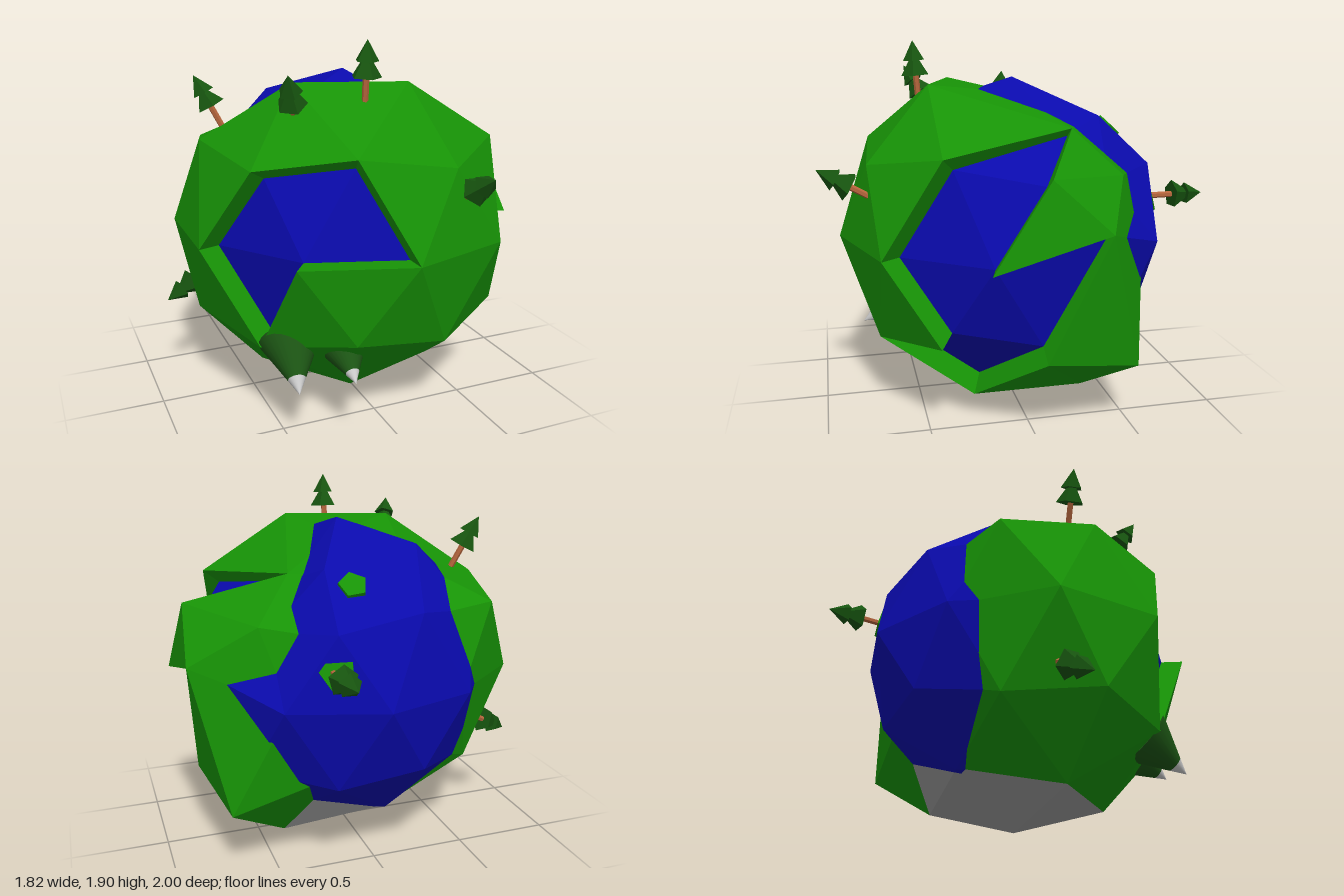
import * as THREE from 'three';

const mat = (color, extra = {}) =>
  new THREE.MeshStandardMaterial({ color, flatShading: true, roughness: 0.9, ...extra });
const landMat = mat(0x179306, { side: THREE.DoubleSide });
const rockMat = mat(0x9a9a9a, { side: THREE.DoubleSide });
const oceanMat = mat(0x0a0aac);
const leafMat = mat(0x17550f);
const trunkMat = mat(0xb5653c);
const hillMat = new THREE.MeshStandardMaterial({ color: 0x1c5514 });
const snowMat = new THREE.MeshStandardMaterial({ color: 0xe8e8e8 });

// Rings of a once-divided icosahedron: [radius, height] per letter; a vertex is letter + azimuth
const RINGS = {
  P: [0, 1], T: [0.526, 0.851], U: [0.894, 0.447], M: [0.851, 0.526], E: [1, 0],
  L: [0.894, -0.447], N: [0.851, -0.526], B: [0.526, -0.851], Q: [0, -1],
};
const MIDS = { PU: 'T', UU: 'M', LU: 'E', LL: 'N', LQ: 'B' };
const wrap = (a) => (a + 720) % 360;

function position(name, radius) {
  const [r, h] = RINGS[name[0]];
  const a = THREE.MathUtils.degToRad(Number(name.slice(1) || 0));
  return new THREE.Vector3(r * Math.sin(a), h, r * Math.cos(a)).multiplyScalar(radius);
}

function middle(a, b) {
  const letter = MIDS[[a[0], b[0]].sort().join('')];
  if ('PQ'.includes(a[0])) return letter + b.slice(1);
  if ('PQ'.includes(b[0])) return letter + a.slice(1);
  const x = Number(a.slice(1));
  const delta = wrap(Number(b.slice(1)) - x + 180) - 180;
  return letter + wrap(x + delta / 2);
}

// All 80 faces as triples of vertex names
function sphereFaces() {
  const faces = [];
  for (let k = 0; k < 5; k++) {
    const a = 18 + 72 * k;
    const u = 'U' + wrap(a), v = 'U' + wrap(a + 72);
    const l = 'L' + wrap(a + 36), m = 'L' + wrap(a + 108);
    for (const [p, q, r] of [['P', u, v], [u, l, v], [v, l, m], ['Q', m, l]]) {
      const pq = middle(p, q), qr = middle(q, r), rp = middle(r, p);
      faces.push([p, pq, rp], [q, qr, pq], [r, rp, qr], [pq, qr, rp]);
    }
  }
  return faces;
}

const key = (f) => [...f].sort().join(' ');
const keys = (list) => new Set(list.map((s) => key(s.split(' '))));

// Openings in the land shell where the sea shows
const OPEN = keys([
  'M54 U90 T90', 'M54 U90 E72', 'M54 E36 E72', 'E36 E72 L54',
  'E72 L54 N90', 'L54 N18 B54', 'L54 N90 B54', 'E72 E108 N90',
  'E288 E324 N306', 'U306 E288 E324', 'U306 M342 E324', 'M342 E324 E0',
]);

// Land vertices sunk below the sea, and shifted vertices of land and sea
const SUNK = {
  P: 0.72, T162: 0.66, T234: 0.71, M198: 0.7, U162: 0.7, E144: 0.72, E180: 0.7,
  E216: 0.76, L198: 0.7, N162: 0.71, N234: 0.83, B198: 0.79,
};
const LAND_SHIFT = {
  T90: [0.33, 0.565, -0.23], M126: [0.53, 0.36, -0.43],
  E108: [0.85, 0.15, -0.28], L126: [0.695, -0.56, -0.48],
};
const OCEAN_SHIFT = {
  T90: [0.3, 0.53, -0.21], T162: [0.2, 0.61, -0.41],
  M126: [0.47, 0.32, -0.38], E108: [0.8, 0.14, -0.26],
};

function meshOf(name, points, material) {
  const geometry = new THREE.BufferGeometry().setFromPoints(points);
  geometry.computeVertexNormals();
  const mesh = new THREE.Mesh(geometry, material);
  mesh.name = name;
  return mesh;
}

function buildGlobe(group) {
  const faces = sphereFaces();
  const landAt = (n) =>
    LAND_SHIFT[n] ? new THREE.Vector3(...LAND_SHIFT[n]) : position(n, SUNK[n] ?? 0.912);
  const oceanAt = (n) =>
    OCEAN_SHIFT[n] ? new THREE.Vector3(...OCEAN_SHIFT[n]) : position(n, 0.8);

  const kept = faces.filter((f) => !OPEN.has(key(f)));
  const isRock = (f) => f.includes('Q') || key(f) === key(['B126', 'B198', 'N162']);
  const land = kept.filter((f) => !isRock(f)).flat().map(landAt);
  const rock = kept.filter(isRock).flat().map(landAt);

  // Walls around the openings
  const edges = new Set(kept.flatMap((f) => f.map((n, i) => n + '>' + f[(i + 1) % 3])));
  for (const edge of edges) {
    const [a, b] = edge.split('>');
    if (edges.has(b + '>' + a)) continue;
    const p = landAt(a), q = landAt(b);
    const pi = p.clone().multiplyScalar(0.86), qi = q.clone().multiplyScalar(0.86);
    land.push(p, pi, q, q, pi, qi);
  }
  group.add(
    meshOf('ocean', faces.flat().map(oceanAt), oceanMat),
    meshOf('land', land, landMat),
    meshOf('bottomRock', rock, rockMat),
  );
}

const UP = new THREE.Vector3(0, 1, 0);

function placed(name, base, direction) {
  const g = new THREE.Group();
  g.name = name;
  g.position.set(...base);
  g.quaternion.setFromUnitVectors(UP, new THREE.Vector3(...direction).normalize());
  return g;
}

function part(name, geometry, y, material) {
  const mesh = new THREE.Mesh(geometry, material);
  mesh.name = name;
  mesh.position.y = y;
  return mesh;
}

// Fir tree: trunk and two stacked cones
function tree(base, direction) {
  const g = placed('tree', base, direction);
  g.add(
    part('trunk', new THREE.CylinderGeometry(0.016, 0.016, 0.16, 6), 0.04, trunkMat),
    part('lowerBranches', new THREE.ConeGeometry(0.075, 0.12, 5), 0.15, leafMat),
    part('upperBranches', new THREE.ConeGeometry(0.058, 0.1, 5), 0.215, leafMat),
  );
  return g;
}

// Mountain: smooth cone with a snow cap
function mountain(base, tip, radius) {
  const axis = tip.map((v, i) => v - base[i]);
  const h = Math.hypot(...axis);
  const g = placed('mountain', base, axis);
  g.add(
    part('slope', new THREE.CylinderGeometry(radius * 0.28, radius, h * 0.72, 24), h * 0.36, hillMat),
    part('snowCap', new THREE.ConeGeometry(radius * 0.28, h * 0.28, 24), h * 0.86, snowMat),
  );
  return g;
}

// Small flat island lying on the sea
function island(at, radius) {
  const g = placed('island', at, at);
  g.add(part('islandGround', new THREE.CylinderGeometry(radius * 0.95, radius, 0.03, 5), 0, landMat));
  return g;
}

export function createModel() {
  const model = new THREE.Group();
  model.name = 'planet';
  const globe = new THREE.Group();
  globe.name = 'globe';
  globe.position.set(0.04, 0.91, -0.02);
  model.add(globe);
  buildGlobe(globe);

  globe.add(
    tree([-0.09, 0.72, 0.48], [0, 1, 0.08]),
    tree([-0.41, 0.62, 0.38], [-0.22, 0.66, 0.4]),
    tree([-0.65, 0.55, -0.07], [-0.42, 0.85, -0.15]),
    tree([0.3, 0.27, 0.78], [0, 0.48, 0.85]),
    tree([0.25, 0.19, -0.72], [-0.05, 0, -1]),
    tree([-0.72, -0.3, -0.22], [-0.85, -0.45, 0.18]),
    mountain([-0.48, -0.46, 0.47], [-0.52, -0.63, 0.71], 0.155),
    mountain([-0.25, -0.47, 0.6], [-0.27, -0.58, 0.8], 0.12),
    island([0.09, 0.54, -0.5], 0.075),
    island([0.23, 0.19, -0.69], 0.09),
  );
  return model;
}
